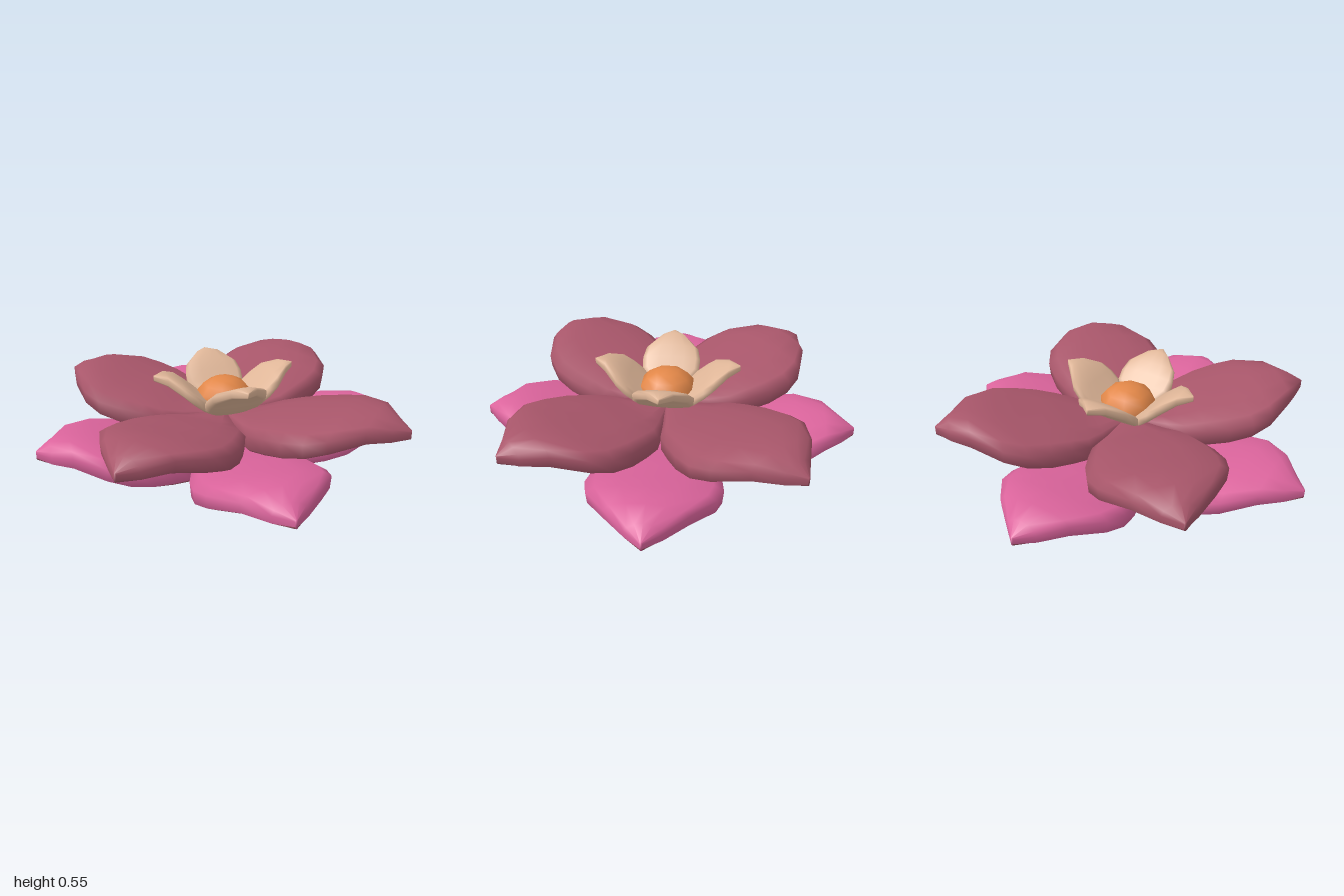
import * as THREE from 'three';

const material = (name, color) => {
  const m = new THREE.MeshStandardMaterial({ color });
  m.name = name;
  return m;
};

// Each station: [distance from centre, half width, middle height, half thickness, edge lift]
const LARGE = [
  [0.0, 0.01, 0.06, 0.055, 0],
  [0.17, 0.168, 0.069, 0.065, 0],
  [0.255, 0.248, 0.085, 0.072, -0.005],
  [0.35, 0.286, 0.108, 0.077, -0.012],
  [0.46, 0.322, 0.135, 0.077, -0.02],
  [0.58, 0.337, 0.165, 0.07, -0.026],
  [0.69, 0.31, 0.2, 0.063, -0.03],
  [0.835, 0.198, 0.232, 0.05, -0.03],
  [0.93, 0.087, 0.213, 0.036, -0.035],
  [1.0, 0.006, 0.18, 0.023, 0],
];
const SMALL = [
  [0.0, 0.01, 0.305, 0.025, 0],
  [0.08, 0.085, 0.337, 0.03, 0],
  [0.15, 0.153, 0.393, 0.034, 0],
  [0.2, 0.158, 0.437, 0.034, -0.005],
  [0.25, 0.143, 0.483, 0.032, -0.01],
  [0.32, 0.07, 0.525, 0.025, -0.01],
  [0.38, 0.004, 0.525, 0.015, 0],
];

// Closed puffy petal pointing to +z: group 0 is the top and rim, group 1 the underside
function petalGeometry(stations) {
  const across = [-1, -0.85, -0.45, 0, 0.45, 0.85, 1];
  const n = across.length, ring = n * 2, pos = [];
  for (const [r, w, y, t, lift] of stations) {
    for (const side of [1, -1]) {
      for (const u0 of across) {
        const u = u0 * side;
        const edge = Math.abs(u) === 1 ? 0.52 : 1 - 0.15 * u * u;
        const inset = Math.abs(u) === 1 && side < 0 ? 0.98 : 1;
        pos.push(u * w * inset, y + lift * u * u + side * t * edge, r);
      }
    }
  }
  const upper = [], under = [];
  for (let i = 0; i < stations.length - 1; i++) {
    for (let j = 0; j < ring; j++) {
      const k = (j + 1) % ring;
      const a = i * ring + j, b = i * ring + k, c = a + ring, d = b + ring;
      (j >= n && j < ring - 1 ? under : upper).push(a, c, b, b, c, d);
    }
  }
  // Close the blunt tip
  const last = (stations.length - 1) * ring;
  for (let j = 0; j < n - 1; j++) {
    const a = last + j, b = a + 1, c = last + ring - 1 - j, d = c - 1;
    upper.push(a, c, b, b, c, d);
  }
  const g = new THREE.BufferGeometry();
  g.setAttribute('position', new THREE.Float32BufferAttribute(pos, 3));
  g.setIndex([...upper, ...under]);
  g.addGroup(0, upper.length, 0);
  g.addGroup(upper.length, under.length, 1);
  g.computeVertexNormals();
  return g;
}

// Four petals around the centre
function petalLayer(name, geometry, materials, turn, height) {
  const layer = new THREE.Group();
  layer.name = name;
  for (let i = 0; i < 4; i++) {
    const petal = new THREE.Mesh(geometry, materials);
    petal.name = name + 'Petal';
    petal.rotation.y = turn + (i * Math.PI) / 2;
    layer.add(petal);
  }
  layer.position.y = height;
  return layer;
}

export function createModel() {
  const pink = material('pink', 0xdb649c);
  const maroon = material('maroon', 0xa8566a);
  const cream = material('cream', 0xdfb698);
  const orange = material('orange', 0xe28748);

  const flower = new THREE.Group();
  flower.name = 'flower';
  const large = petalGeometry(LARGE);
  flower.add(
    petalLayer('lower', large, [pink, maroon], 0, 0),
    petalLayer('middle', large, [maroon, maroon], Math.PI / 4, 0.187),
    petalLayer('inner', petalGeometry(SMALL), [cream, cream], 0, 0),
  );

  // Low, eight-sided dome in the heart of the flower
  const dome = new THREE.SphereGeometry(0.157, 8, 4, 0, Math.PI * 2, 0, Math.PI / 2);
  const heart = new THREE.Mesh(dome, orange);
  heart.name = 'heart';
  heart.scale.y = 0.8;
  heart.rotation.y = Math.PI / 8;
  heart.position.y = 0.37;
  flower.add(heart);
  return flower;
}
